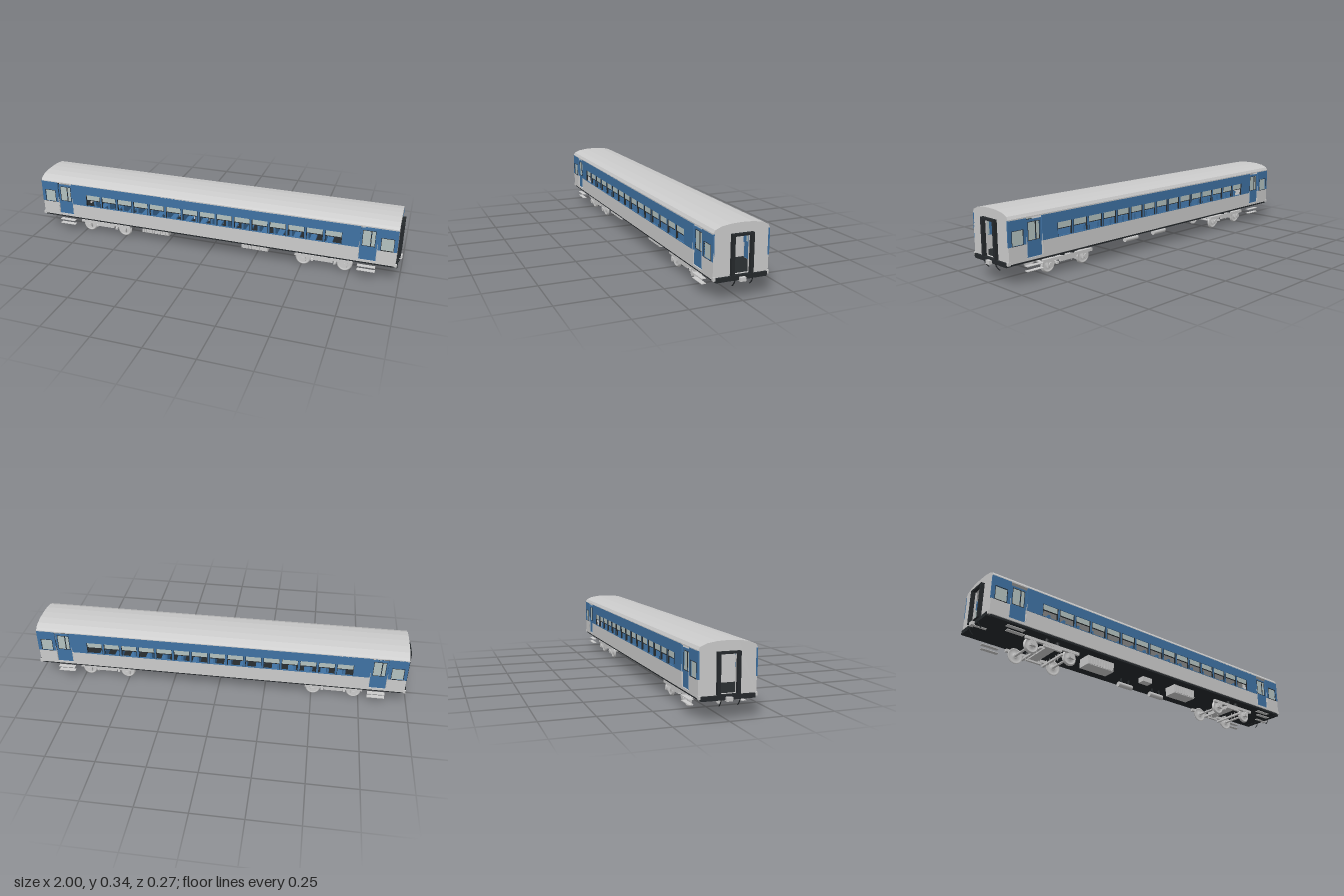
import * as THREE from 'three';

const mat = (color) => new THREE.MeshStandardMaterial({ color, side: THREE.DoubleSide });
const GREY = mat(0xcccccc), BLUE = mat(0x3f72a3), DARK = mat(0x25292c), GLASS = mat(0xb4c2c0);

function add(parent, name, geo, material, x = 0, y = 0, z = 0) {
  const m = new THREE.Mesh(geo, material);
  m.name = name;
  m.position.set(x, y, z);
  parent.add(m);
  return m;
}

// Box given by its limits on each axis
function box(parent, name, material, x0, x1, y0, y1, z0, z1) {
  return add(parent, name, new THREE.BoxGeometry(x1 - x0, y1 - y0, z1 - z0), material,
    (x0 + x1) / 2, (y0 + y1) / 2, (z0 + z1) / 2);
}

function rod(parent, name, material, r, length, axis, x, y, z, sides = 16) {
  const m = add(parent, name, new THREE.CylinderGeometry(r, r, length, sides), material, x, y, z);
  if (axis === 'x') m.rotation.z = Math.PI / 2;
  if (axis === 'z') m.rotation.x = Math.PI / 2;
  return m;
}

function group(parent, name) {
  const g = new THREE.Group();
  g.name = name;
  parent.add(g);
  return g;
}

const rect = (C, a, b, c, d) =>
  new C([[a, c], [b, c], [b, d], [a, d]].map(([x, y]) => new THREE.Vector2(x, y)));

// Upright panel with rectangular holes [x0, x1, y0, y1]
function panel(parent, name, material, x0, x1, y0, y1, z, depth, holes) {
  const s = rect(THREE.Shape, x0, x1, y0, y1);
  for (const h of holes) s.holes.push(rect(THREE.Path, ...h));
  return add(parent, name, new THREE.ExtrudeGeometry(s, { depth, bevelEnabled: false }), material, 0, 0, z);
}

// Cross-section (z, y) extruded along x
function extrudeX(parent, name, material, shape, x0, x1) {
  const g = new THREE.ExtrudeGeometry(shape, { depth: x1 - x0, bevelEnabled: false });
  g.rotateY(Math.PI / 2);
  return add(parent, name, g, material, x0);
}

const ROOF = [[0.133, 0.3], [0.125, 0.314], [0.095, 0.327], [0.05, 0.334], [0, 0.336]];
const arch = (inset = 0) => {
  const half = ROOF.map(([z, y]) => new THREE.Vector2(z * (1 - inset * 7.5), y - inset));
  return [...half, ...half.slice(0, -1).reverse().map((p) => new THREE.Vector2(-p.x, p.y))];
};

function makeSide(parent) {
  const side = group(parent, 'side');
  const windows = [];
  for (let i = -7; i <= 7; i++) windows.push([i * 0.0947 - 0.041, i * 0.0947 + 0.041, 0.181, 0.246]);

  // Lower grey panels and blue window band, broken by the doorways
  for (const [a, b] of [[-0.975, -0.877], [-0.793, 0.793], [0.877, 0.975]])
    box(side, 'lowerPanel', GREY, a, b, 0.1, 0.178, 0.126, 0.132);
  panel(side, 'windowBand', BLUE, -0.793, 0.793, 0.178, 0.297, 0.127, 0.007, windows);

  // Fixed upper panes with a dark rail and thin side frames
  for (const [a, b, y0, y1] of windows) {
    box(side, 'upperPane', GLASS, a, b, 0.217, y1, 0.128, 0.13);
    box(side, 'windowRail', DARK, a, b, 0.214, 0.217, 0.127, 0.132);
    for (const x of [a, b]) box(side, 'windowFrame', DARK, x - 0.001, x + 0.001, y0, y1, 0.126, 0.1345);
  }

  for (const s of [-1, 1]) {
    // End window
    const c = s * 0.927;
    const w = [c - 0.03, c + 0.03, 0.18, 0.246];
    panel(side, 'endBand', BLUE, c - 0.05, c + 0.048, 0.178, 0.297, 0.127, 0.007, [w]);
    box(side, 'endPane', GLASS, ...w, 0.128, 0.13);
    panel(side, 'endWindowFrame', DARK, w[0] - 0.002, w[1] + 0.002, 0.178, 0.248, 0.13, 0.005, [w]);

    // Recessed door with two panes
    const d = s * 0.835;
    const panes = [[d - 0.03, d + 0.008, 0.19, 0.272], [d + 0.013, d + 0.03, 0.19, 0.272]];
    panel(side, 'door', BLUE, d - 0.042, d + 0.042, 0.112, 0.284, 0.122, 0.005, panes);
    for (const p of panes) {
      box(side, 'doorPane', GLASS, ...p, 0.124, 0.126);
      panel(side, 'doorPaneFrame', DARK, p[0] - 0.002, p[1] + 0.002, 0.188, 0.274, 0.125, 0.003, [p]);
    }
    for (const x of [d - 0.044, d + 0.044])
      rod(side, 'handrail', GREY, 0.0015, 0.09, 'y', x, 0.165, 0.134, 6);
    box(side, 'doorSill', GREY, d - 0.042, d + 0.042, 0.1, 0.112, 0.122, 0.132);

    // Hanging steps
    for (const y of [0.05, 0.073])
      box(side, 'step', GREY, d - 0.045, d + 0.045, y - 0.0015, y + 0.0015, 0.112, 0.134);
  }
  return side;
}

function makeEnd(parent) {
  const end = group(parent, 'end');
  // End wall with gangway opening
  const wall = new THREE.Shape([new THREE.Vector2(-0.131, 0.108), new THREE.Vector2(0.131, 0.108), ...arch()]);
  wall.holes.push(rect(THREE.Path, -0.038, 0.038, 0.113, 0.282));
  extrudeX(end, 'endWall', GREY, wall, 0.965, 0.975);
  // Gangway frame
  const frame = rect(THREE.Shape, -0.052, 0.052, 0.11, 0.291);
  frame.holes.push(rect(THREE.Path, -0.038, 0.038, 0.112, 0.281));
  extrudeX(end, 'gangway', DARK, frame, 0.975, 0.992);
  // Headstock, corner blocks and coupler
  box(end, 'headstock', DARK, 0.96, 0.985, 0.088, 0.108, -0.122, 0.122);
  for (const s of [-1, 1])
    box(end, 'cornerBlock', GREY, 0.968, 0.982, 0.096, 0.112, s * 0.128 - 0.005, s * 0.128 + 0.005);
  box(end, 'couplerShank', GREY, 0.92, 0.988, 0.087, 0.099, -0.008, 0.008);
  box(end, 'couplerHead', GREY, 0.982, 1, 0.084, 0.102, -0.014, 0.014);
  // Hanging hoses
  for (const z of [0.035, -0.05]) {
    const curve = new THREE.QuadraticBezierCurve3(new THREE.Vector3(0.99, 0.092, z),
      new THREE.Vector3(0.985, 0.075, z), new THREE.Vector3(0.968, 0.06, z));
    add(end, 'hose', new THREE.TubeGeometry(curve, 6, 0.0025, 6), DARK);
  }
  return end;
}

function makeBogie(parent, x) {
  const bogie = group(parent, 'bogie');
  bogie.position.x = x;
  // Wheel profile: flange inside, tread outside, dished web
  const profile = [[0.006, -0.006], [0.012, -0.006], [0.014, -0.002], [0.031, -0.002], [0.032, -0.005],
    [0.04, -0.005], [0.04, -0.002], [0.037, -0.001], [0.036, 0.005], [0.031, 0.005], [0.029, 0.002],
    [0.014, 0.002], [0.012, 0.007], [0, 0.007]].map(([r, y]) => new THREE.Vector2(r, y));
  for (const ax of [-0.107, 0.107]) {
    rod(bogie, 'axle', GREY, 0.006, 0.19, 'z', ax, 0.04, 0);
    for (const s of [-1, 1]) {
      const wheel = add(bogie, 'wheel', new THREE.LatheGeometry(profile, 28), GREY, ax, 0.04, s * 0.075);
      wheel.rotation.x = s * Math.PI / 2;
      box(bogie, 'axleBox', GREY, ax - 0.016, ax + 0.016, 0.03, 0.062, s * 0.092 - 0.006, s * 0.092 + 0.006);
      rod(bogie, 'axleCap', GREY, 0.013, 0.006, 'z', ax, 0.042, s * 0.099);
      for (const z of [0.025, 0.05])
        rod(bogie, 'brakeHanger', GREY, 0.0015, 0.04, 'y', ax * 0.55, 0.04, s * z, 6);
    }
    box(bogie, 'crossBeam', GREY, ax * 0.55 - 0.006, ax * 0.55 + 0.006, 0.035, 0.046, -0.09, 0.09);
  }
  for (const s of [-1, 1]) {
    box(bogie, 'sideFrame', GREY, -0.15, 0.15, 0.058, 0.073, s * 0.092 - 0.007, s * 0.092 + 0.007);
    box(bogie, 'springPlank', GREY, -0.05, 0.05, 0.046, 0.058, s * 0.092 - 0.006, s * 0.092 + 0.006);
    for (const sx of [-0.03, 0.03])
      rod(bogie, 'spring', DARK, 0.011, 0.026, 'y', sx, 0.079, s * 0.088);
  }
  box(bogie, 'bolster', GREY, -0.025, 0.025, 0.055, 0.077, -0.088, 0.088);
  rod(bogie, 'pivot', DARK, 0.02, 0.025, 'y', 0, 0.084, 0);
}

function makeSeat(parent, x, s) {
  const seat = group(parent, 'seat');
  const zs = s > 0 ? [0.02, 0.12] : [-0.12, -0.02];
  box(seat, 'seatBack', BLUE, x - 0.006, x + 0.006, 0.145, 0.205, ...zs);
  box(seat, 'seatCushion', BLUE, x - 0.004, x + 0.036, 0.143, 0.155, ...zs);
  for (const z of [0.035, 0.11])
    box(seat, 'seatLeg', GREY, x + 0.008, x + 0.02, 0.11, 0.144, s * z - 0.002, s * z + 0.002);
}

function equipmentBox(parent, x0, x1) {
  const g = group(parent, 'equipmentBox');
  box(g, 'case', GREY, x0, x1, 0.042, 0.09, 0.008, 0.08);
  const n = 10;
  for (let i = 0; i < n; i++) {
    const x = x0 + ((i + 0.5) / n) * (x1 - x0);
    box(g, 'rib', GREY, x - 0.004, x + 0.004, 0.045, 0.08, 0.079, 0.085);
  }
}

export function createModel() {
  const coach = new THREE.Group();
  coach.name = 'passengerCoach';

  // Floor and roof shell
  box(coach, 'floor', DARK, -0.97, 0.97, 0.09, 0.111, -0.126, 0.126);
  extrudeX(coach, 'roof', GREY, new THREE.Shape([...arch(), ...arch(0.005).reverse()]), -0.975, 0.975);
  for (const s of [-1, 1])
    box(coach, 'gutter', GREY, -0.975, 0.975, 0.295, 0.301, s * 0.13 - 0.004, s * 0.13 + 0.004);

  // Mirrored sides, ends and bogies
  makeSide(coach);
  makeSide(coach).rotation.y = Math.PI;
  makeEnd(coach);
  makeEnd(coach).rotation.y = Math.PI;
  for (const s of [-1, 1]) {
    makeBogie(coach, s * 0.615);
    // Saloon partitions either side of the aisle
    for (const p of [-1, 1])
      box(coach, 'partition', GREY, s * 0.775 - 0.004, s * 0.775 + 0.004, 0.11, 0.3, p * 0.083 - 0.043, p * 0.083 + 0.043);
    for (let i = 0; i < 16; i++) makeSeat(coach, -0.66 + i * 0.085, s);
  }

  // Underfloor equipment
  equipmentBox(coach, -0.4, -0.24);
  equipmentBox(coach, 0.175, 0.32);
  box(coach, 'smallBox', GREY, -0.025, 0.035, 0.063, 0.09, 0.015, 0.055);
  for (const x of [-0.07, 0.145]) {
    rod(coach, 'airTank', GREY, 0.014, 0.09, 'x', x, 0.053, -0.045);
    for (const dx of [-0.025, 0.025])
      box(coach, 'tankStrap', DARK, x + dx - 0.003, x + dx + 0.003, 0.05, 0.092, -0.05, -0.04);
  }
  return coach;
}
